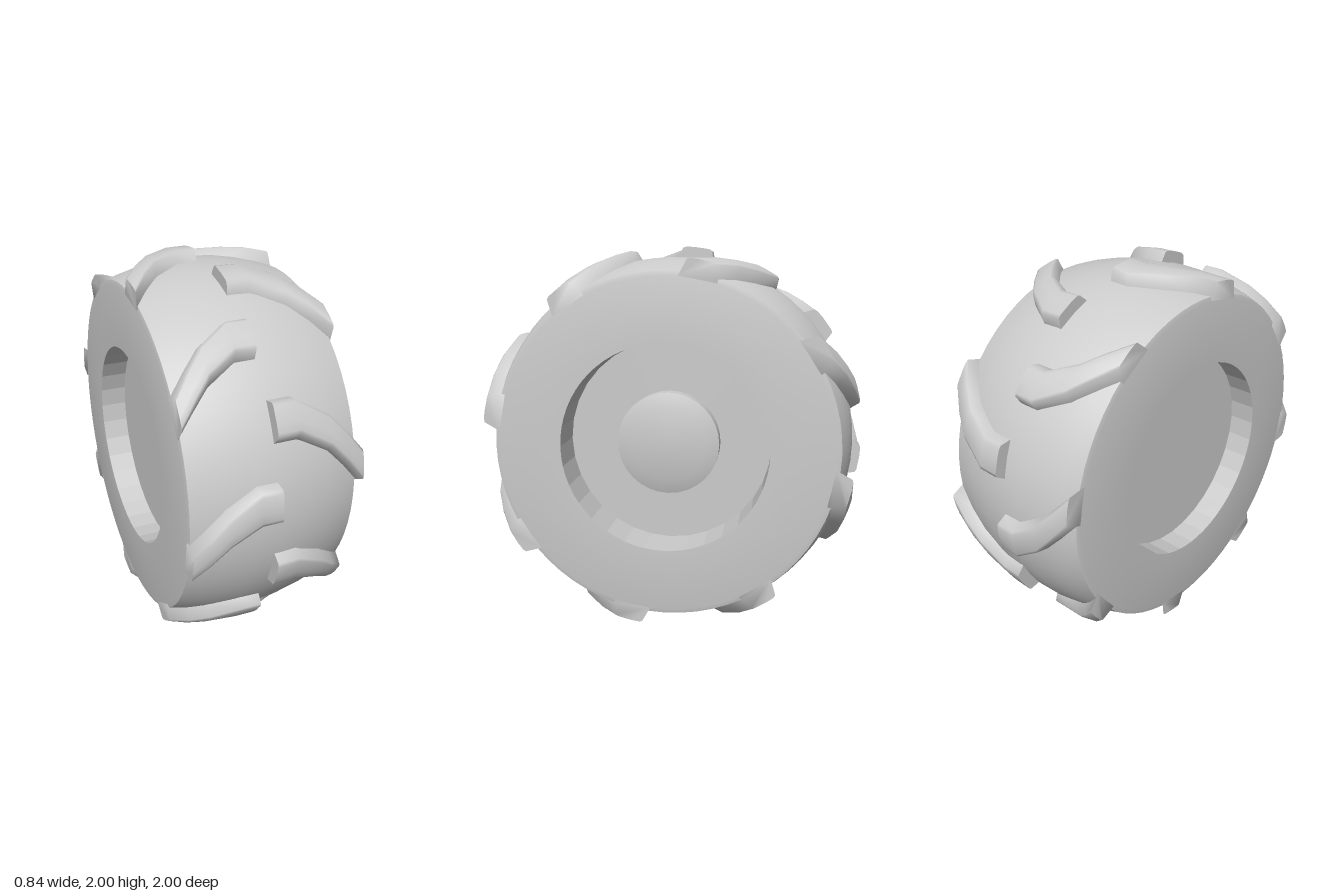
import * as THREE from 'three';
import { toCreasedNormals } from 'three/addons/utils/BufferGeometryUtils.js';

const MATERIAL = new THREE.MeshStandardMaterial({ color: 0xcccccc });
const FACETED = new THREE.MeshStandardMaterial({ color: 0xcccccc, flatShading: true });
const DEG = Math.PI / 180;

// Surface of revolution around the axle (x); points are [radius, x], running towards +x
function turned(name, points, segments, material = MATERIAL) {
  const geo = new THREE.LatheGeometry(points.map(([r, x]) => new THREE.Vector2(r, x)), segments);
  geo.rotateZ(-Math.PI / 2);
  const mesh = new THREE.Mesh(material === FACETED ? geo : toCreasedNormals(geo, 0.6), material);
  mesh.name = name;
  return mesh;
}

// Stations along a lug: x offset, lower and upper edge angle, top radius, carcass radius
const SPLIT = -0.025; // line where the two rows of lugs meet
const STATIONS = [
  [0, -10.4, 0, 1.0, 0.943],
  [0.25, -10.4, 0, 0.998, 0.94],
  [0.6, -15.5, -5.4, 0.98, 0.915],
  [0.8, -21, -10.8, 0.962, 0.895],
  [1, -27.5, -17, 0.935, 0.868],
];

// A bent tread lug with sloping flanks, lofted from cross-sections
function lugGeometry(side) {
  const reach = side < 0 ? -0.42 - SPLIT : 0.42 - SPLIT;
  const rows = STATIONS.map(([t, lo, hi, top, base]) => {
    const x = SPLIT + reach * t;
    const section = [
      [lo - 0.6, base - 0.02], [lo, base], [lo + 1.6, top - 0.006], [lo + 2.6, top],
      [(lo + hi) / 2, top + 0.001],
      [hi - 0.9, top], [hi, top - 0.006], [hi + 1.2, base], [hi + 1.7, base - 0.02],
    ];
    return section.map(([a, r]) => [x, r * Math.sin(a * DEG), r * Math.cos(a * DEG)]);
  });
  const pos = [];
  const tri = (a, b, c) => pos.push(...a, ...(side < 0 ? b : c), ...(side < 0 ? c : b));
  for (let i = 0; i < rows.length - 1; i++) {
    for (let j = 0; j < rows[i].length - 1; j++) {
      const a = rows[i][j], b = rows[i][j + 1], c = rows[i + 1][j + 1], d = rows[i + 1][j];
      tri(a, b, c);
      tri(a, c, d);
    }
  }
  const inner = rows[0], outer = rows[rows.length - 1];
  for (let j = 1; j < inner.length - 1; j++) {
    tri(inner[0], inner[j + 1], inner[j]);
    tri(outer[0], outer[j], outer[j + 1]);
  }
  const geo = new THREE.BufferGeometry();
  geo.setAttribute('position', new THREE.Float32BufferAttribute(pos, 3));
  return toCreasedNormals(geo, 1.2);
}

export function createModel() {
  const wheel = new THREE.Group();
  wheel.name = 'wheel';
  wheel.position.y = 1;

  // Tyre carcass: flat sidewalls and a crowned tread
  const half = [[0.527, 0.42], [0.845, 0.42], [0.868, 0.414], [0.895, 0.335], [0.917, 0.25], [0.94, 0.12]];
  wheel.add(turned('tyre', [
    ...half.map(([r, x]) => [r, -x]), [0.945, 0], ...half.slice().reverse(),
  ], 64));

  // Rim wells: shallow on one side, deep on the hub side
  wheel.add(turned('shallowRimWell', [[0, -0.28], [0.53, -0.28], [0.53, -0.42]], 32, FACETED));
  wheel.add(turned('deepRimWell', [[0.53, 0.42], [0.53, 0.19], [0, 0.19]], 32, FACETED));

  // Hub with a bevelled cap
  wheel.add(turned('hub', [[0.265, 0.18], [0.265, 0.265], [0.19, 0.29], [0, 0.29]], 32));

  // Two staggered rows of eight lugs
  for (const [side, name, start] of [[-1, 'rightLug', 11], [1, 'leftLug', 33]]) {
    const geo = lugGeometry(side);
    for (let k = 0; k < 8; k++) {
      const lug = new THREE.Mesh(geo, MATERIAL);
      lug.name = name;
      lug.rotation.x = -(start + k * 45) * DEG;
      wheel.add(lug);
    }
  }

  const model = new THREE.Group();
  model.name = 'tractorWheel';
  model.add(wheel);
  return model;
}
